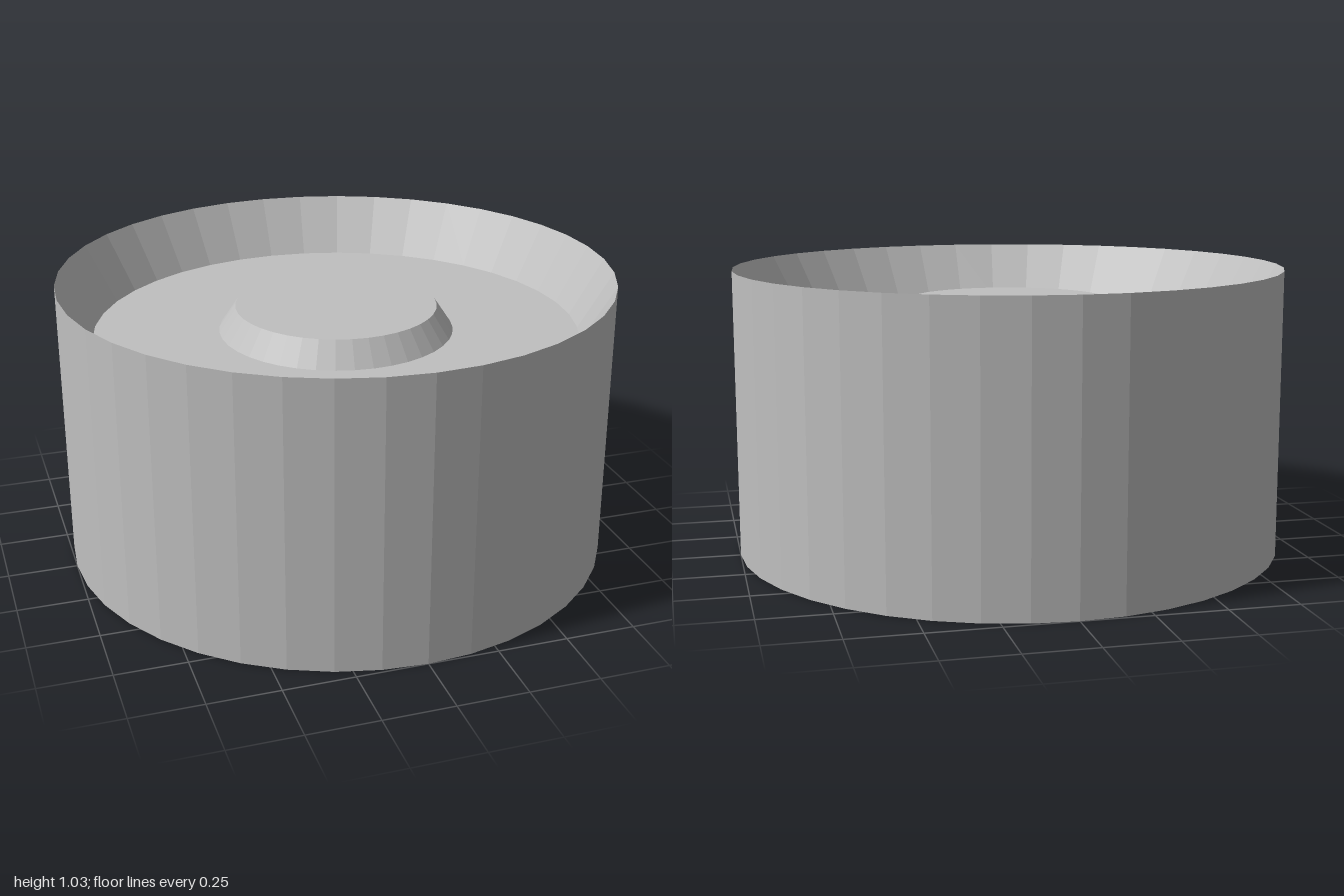
import * as THREE from 'three';

const HEIGHT = 1.035, MID = HEIGHT / 2, SEGMENTS = 40;
const RIM_R = 1, WEB_R = 0.88, HUB_BASE_R = 0.425, HUB_TOP_R = 0.365;
const WEB_Y = MID - 0.21;        // half thickness of the central web
const HUB_Y = WEB_Y + 0.09;      // hub face, measured from the middle

// Faceted surface of revolution; the profile runs from bottom to top
function facetedLathe(name, profile, material) {
  const points = profile.map(([r, y]) => new THREE.Vector2(r, y));
  const geometry = new THREE.LatheGeometry(points, SEGMENTS).toNonIndexed();
  geometry.computeVertexNormals();
  const mesh = new THREE.Mesh(geometry, material);
  mesh.name = name;
  return mesh;
}

export function createModel() {
  const grey = new THREE.MeshStandardMaterial({ color: 0xc0c0c0 });
  grey.name = 'light grey';

  const model = new THREE.Group();
  model.name = 'roller';

  // Outer wall with sharp lips sloping inwards to the web on both ends
  const rim = facetedLathe('rim', [
    [WEB_R, -WEB_Y], [RIM_R, -MID], [RIM_R, MID], [WEB_R, WEB_Y],
  ], grey);
  rim.position.y = MID;
  model.add(rim);

  // Recessed web and raised tapered hub, the same on both ends
  for (const end of ['top', 'bottom']) {
    const side = new THREE.Group();
    side.name = end + 'Face';
    side.position.y = MID;
    if (end === 'bottom') side.rotation.x = Math.PI;
    side.add(
      facetedLathe('web', [[WEB_R, WEB_Y], [HUB_BASE_R, WEB_Y]], grey),
      facetedLathe('hubSide', [[HUB_BASE_R, WEB_Y], [HUB_TOP_R, HUB_Y]], grey),
    );
    const cap = new THREE.Mesh(new THREE.CircleGeometry(HUB_TOP_R, SEGMENTS), grey);
    cap.name = 'hubCap';
    cap.rotation.x = -Math.PI / 2;
    cap.position.y = HUB_Y;
    side.add(cap);
    model.add(side);
  }
  return model;
}
